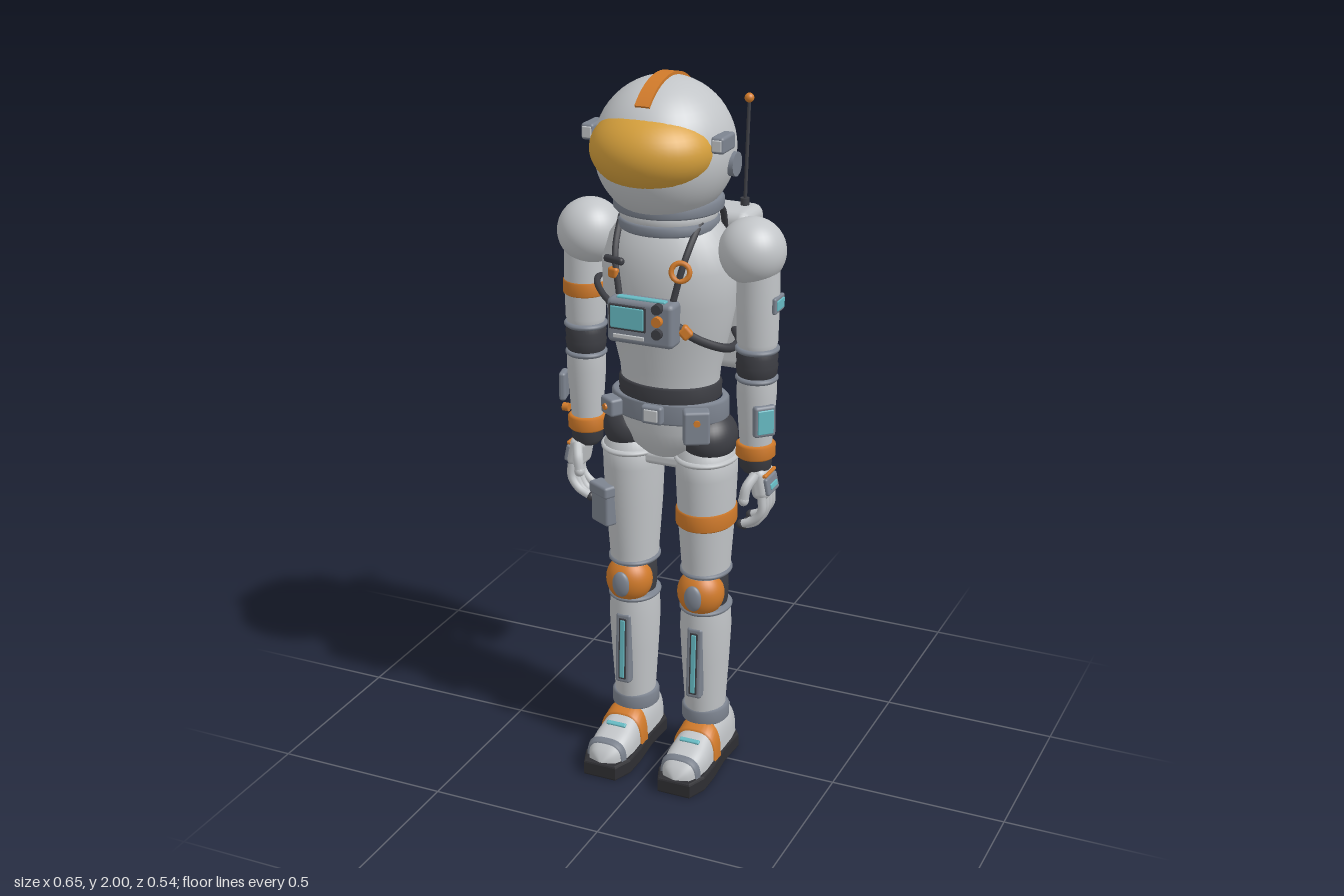
import * as THREE from 'three';
import { RoundedBoxGeometry } from 'three/addons/geometries/RoundedBoxGeometry.js';

const mat = (name, color) => Object.assign(new THREE.MeshStandardMaterial({ color }), { name });
const suit = mat('suit fabric', 0xc2c5c8), slate = mat('slate fittings', 0x7d8490), dark = mat('dark joints', 0x3d3e44);
const orange = mat('orange trim', 0xd07a2a), gold = mat('gold visor', 0xd6a03c), teal = mat('teal display', 0x66b9c2);
const black = mat('sole rubber', 0x2e2e32);

export function createModel() {
  const root = new THREE.Group();
  root.name = 'astronaut';
  let parent = root;
  const group = (name, x = 0, y = 0, z = 0) => {
    parent = new THREE.Group();
    parent.name = name;
    parent.position.set(x, y, z);
    root.add(parent);
  };
  const add = (name, geo, m, p = [0, 0, 0], r = [0, 0, 0]) => {
    const mesh = new THREE.Mesh(geo, m);
    mesh.name = name;
    mesh.position.set(...p);
    mesh.rotation.set(...r);
    parent.add(mesh);
    return mesh;
  };
  const box = (name, m, size, p, r, rad = 0.008) =>
    add(name, new RoundedBoxGeometry(...size, 2, Math.min(rad, Math.min(...size) * 0.45)), m, p, r);
  const ball = (name, m, [rx, ry, rz], p, r) => add(name, new THREE.SphereGeometry(1, 40, 28).scale(rx, ry, rz), m, p, r);
  const lathe = (name, m, pts, p, sz = 1) =>
    add(name, new THREE.LatheGeometry(pts.map(q => new THREE.Vector2(...q)), 40).scale(1, 1, sz), m, p);
  // band with softened rims around the vertical axis
  const band = (name, m, r, y0, y1, p, sz = 1) => {
    const b = Math.min(0.006, (y1 - y0) / 3);
    return lathe(name, m, [[r - 0.02, y0], [r - b, y0], [r, y0 + b], [r, y1 - b], [r - b, y1], [r - 0.02, y1]], p, sz);
  };
  const tube = (name, m, pts, r) => {
    const curve = new THREE.CatmullRomCurve3(pts.map(q => new THREE.Vector3(...q)));
    return add(name, new THREE.TubeGeometry(curve, 24, r, 10), m);
  };
  const disc = (name, m, r, h, p, rot) => add(name, new THREE.CylinderGeometry(r, r, h, 24), m, p, rot);
  // arched skin over sections [z, half width, height]
  const arch = (name, m, sections, p) => {
    const n = 20, pos = [], idx = [];
    sections.forEach(([z, w, h], i) => {
      for (let j = 0; j <= n; j++) {
        const a = j / n * Math.PI, c = Math.cos(a);
        pos.push(Math.sign(c) * w * Math.abs(c) ** 0.7, h * Math.max(0, Math.sin(a)) ** 0.7, z);
        const k = i * (n + 1) + j;
        if (i && j < n) idx.push(k - n - 1, k - n, k, k - n, k + 1, k);
      }
    });
    const g = new THREE.BufferGeometry();
    g.setAttribute('position', new THREE.Float32BufferAttribute(pos, 3));
    g.setIndex(idx);
    g.computeVertexNormals();
    return add(name, g, m, p);
  };

  // Helmet
  group('helmet', 0, 1.803, 0.042);
  ball('helmetShell', suit, [0.185, 0.19, 0.197]);
  ball('visor', gold, [0.168, 0.113, 0.155], [0, 0.015, 0.073]);
  const arc = new THREE.Shape();
  arc.absellipse(0, 0, 0.204, 0.197, 0.78, 2.98, false);
  arc.absellipse(0, 0, 0.185, 0.178, 2.98, 0.78, true);
  add('helmetStripe', new THREE.ExtrudeGeometry(arc, { depth: 0.04, bevelEnabled: false, curveSegments: 40 })
    .translate(0, 0, -0.02).rotateY(-Math.PI / 2), orange);
  for (const s of [-1, 1]) {
    box('helmetLamp', slate, [0.036, 0.044, 0.082], [s * 0.182, 0.042, 0.048]);
    box('lampLens', suit, [0.026, 0.03, 0.006], [s * 0.182, 0.042, 0.09]);
    disc('earDisc', slate, 0.032, 0.04, [s * 0.175, -0.028, -0.017], [0, 0, Math.PI / 2]);
  }

  // Neck rings
  group('neck', 0, 0, 0.02);
  band('collarBase', slate, 0.135, 1.59, 1.62);
  band('collarMiddle', suit, 0.13, 1.615, 1.645);
  band('collarTop', slate, 0.147, 1.64, 1.675);

  // Torso, waist and pelvis
  group('torso', 0, 0, 0.01);
  lathe('chest', suit, [[0.135, 1.13], [0.142, 1.2], [0.166, 1.3], [0.187, 1.4], [0.19, 1.49], [0.168, 1.56], [0.13, 1.61], [0.1, 1.63]], [0, 0, 0], 0.78);
  band('waistBand', dark, 0.145, 1.115, 1.165, [0, 0, 0], 0.78);
  band('belt', slate, 0.168, 1.06, 1.12, [0, 0, 0], 0.68);
  lathe('pelvis', suit, [[0, 0.905], [0.055, 0.915], [0.085, 0.945], [0.125, 0.985], [0.145, 1.03], [0.15, 1.09]], [0, 0, 0], 0.74);
  box('crotchPanel', suit, [0.13, 0.04, 0.13], [0, 0.937, 0], undefined, 0.015);
  box('beltBuckle', slate, [0.062, 0.052, 0.025], [0, 1.09, 0.118]);
  box('bucklePlate', suit, [0.04, 0.034, 0.006], [0, 1.09, 0.131]);
  box('largePouch', slate, [0.072, 0.095, 0.045], [0.12, 1.068, 0.1], [0, 0.5, 0]);
  disc('pouchButton', orange, 0.009, 0.008, [0.131, 1.085, 0.121], [Math.PI / 2, 0, -0.5]);
  box('smallPouch', slate, [0.06, 0.05, 0.04], [-0.135, 1.085, 0.088], [0, -0.6, 0]);
  disc('smallPouchButton', orange, 0.009, 0.008, [-0.147, 1.085, 0.106], [Math.PI / 2, 0, 0.6]);
  for (const s of [-1, 1]) ball('hipJoint', dark, [0.075, 0.075, 0.09], [s * 0.118, 1.005, 0]);

  // Harness and chest console
  group('harness');
  for (const s of [-1, 1]) {
    tube('shoulderStrap', dark, [[s * 0.1, 1.55, -0.13], [s * 0.115, 1.63, -0.06], [s * 0.113, 1.63, 0.05], [s * 0.1, 1.54, 0.14], [s * 0.075, 1.42, 0.168]], 0.009);
  }
  add('strapRing', new THREE.TorusGeometry(0.024, 0.007, 10, 24), orange, [0.094, 1.51, 0.157], [-0.2, 0.3, 0]);
  box('strapClip', dark, [0.066, 0.02, 0.018], [-0.098, 1.518, 0.152], [0, -0.3, 0]);
  box('strapTab', orange, [0.032, 0.03, 0.018], [-0.097, 1.485, 0.158], [0, -0.3, 0]);
  tube('lowerStrapLeft', dark, [[0.075, 1.37, 0.165], [0.13, 1.32, 0.125], [0.182, 1.28, 0.05], [0.18, 1.27, -0.04], [0.13, 1.27, -0.13]], 0.012);
  tube('lowerStrapRight', dark, [[-0.08, 1.385, 0.165], [-0.145, 1.41, 0.125], [-0.197, 1.425, 0.05], [-0.196, 1.43, -0.04], [-0.14, 1.43, -0.13]], 0.009);
  box('strapAdjuster', orange, [0.032, 0.036, 0.025], [0.105, 1.345, 0.15], [0, 0.4, 0.7]);
  box('chestConsole', slate, [0.19, 0.122, 0.062], [0, 1.372, 0.18], undefined, 0.014);
  box('screenFrame', dark, [0.106, 0.07, 0.007], [-0.033, 1.385, 0.211]);
  box('screen', teal, [0.096, 0.06, 0.008], [-0.033, 1.385, 0.213]);
  box('consoleTopLight', teal, [0.14, 0.008, 0.02], [0, 1.434, 0.19]);
  box('consoleLabel', suit, [0.09, 0.012, 0.006], [-0.03, 1.332, 0.211]);
  [dark, orange, dark].forEach((m, i) => disc('consoleKnob', m, 0.014, 0.02, [0.055, 1.422 - i * 0.034, 0.216], [Math.PI / 2, 0, 0]));

  // Backpack
  group('backpack');
  box('backpackBody', suit, [0.335, 0.45, 0.135], [0, 1.375, -0.187], undefined, 0.03);
  box('backPanel', slate, [0.215, 0.3, 0.02], [0, 1.385, -0.256]);
  for (let i = 0; i < 4; i++) box('ventSlot', dark, [0.118, 0.018, 0.01], [-0.022, 1.435 - i * 0.045, -0.267]);
  box('sideLight', teal, [0.012, 0.25, 0.01], [0.126, 1.4, -0.256]);
  tube('antenna', dark, [[0.125, 1.59, -0.203], [0.126, 1.74, -0.211], [0.127, 1.89, -0.22]], 0.005);
  disc('antennaBase', dark, 0.012, 0.03, [0.125, 1.605, -0.203]);
  ball('antennaTip', orange, [0.013, 0.013, 0.013], [0.127, 1.89, -0.22]);

  for (const s of [-1, 1]) {
    const side = s > 0 ? 'left' : 'right';

    // Arm
    group(side + 'Arm', s * 0.253, 0, 0.012);
    ball('shoulder', suit, [0.09, 0.09, 0.09], [-s * 0.018, 1.545, 0]);
    lathe('upperArm', suit, [[0.05, 1.28], [0.055, 1.3], [0.058, 1.42], [0.056, 1.52]]);
    band('upperElbowRing', slate, 0.06, 1.272, 1.287);
    lathe('elbow', dark, [[0.045, 1.195], [0.054, 1.21], [0.057, 1.235], [0.054, 1.24], [0.057, 1.26], [0.05, 1.28]]);
    band('lowerElbowRing', slate, 0.058, 1.19, 1.205);
    lathe('forearm', suit, [[0.043, 1.0], [0.047, 1.05], [0.054, 1.15], [0.053, 1.195]]);
    band('cuff', orange, 0.054, 0.97, 1.013);
    lathe('wrist', dark, [[0.03, 0.925], [0.043, 0.94], [0.046, 0.975]]);
    // Glove with fingers curling towards the body
    box('palm', suit, [0.05, 0.09, 0.085], [s * 0.022, 0.9, 0.002], [0, 0, s * 0.2], 0.02);
    box('knucklePlate', slate, [0.014, 0.05, 0.075], [s * 0.047, 0.897, 0.002], [0, 0, s * 0.2]);
    box('knuckleLight', teal, [0.006, 0.016, 0.045], [s * 0.055, 0.895, 0.002], [0, 0, s * 0.2]);
    box('gloveStripe', orange, [0.014, 0.01, 0.075], [s * 0.041, 0.928, 0.002], [0, 0, s * 0.2]);
    for (let i = 0; i < 4; i++) {
      const z = -0.032 + i * 0.023, d = i % 3 ? 0 : 0.012;
      tube('finger', suit, [[s * 0.034, 0.87, z], [s * 0.034, 0.825, z], [s * 0.012, 0.783 + d, z], [-s * 0.025, 0.765 + d, z]], 0.0115);
      ball('fingertip', dark, [0.013, 0.013, 0.0125], [-s * 0.025, 0.765 + d, z]);
    }
    tube('thumb', suit, [[s * 0.015, 0.93, 0.035], [0, 0.9, 0.062], [-s * 0.006, 0.865, 0.068]], 0.014);
    ball('thumbTip', suit, [0.0145, 0.016, 0.0145], [-s * 0.006, 0.863, 0.068]);
    if (s > 0) {
      box('armPatch', slate, [0.012, 0.045, 0.066], [0.057, 1.41, 0]);
      box('armPatchLight', teal, [0.006, 0.028, 0.05], [0.063, 1.41, 0]);
      box('wristDisplay', slate, [0.062, 0.088, 0.024], [0.037, 1.09, 0.037], [0, 0.8, 0]);
      box('wristScreen', teal, [0.046, 0.068, 0.006], [0.046, 1.09, 0.046], [0, 0.8, 0]);
    } else {
      band('armBand', orange, 0.061, 1.365, 1.41);
      box('wristController', slate, [0.02, 0.082, 0.05], [-0.055, 1.1, 0.033], [0, 0.25, 0]);
      disc('wristButton', orange, 0.012, 0.018, [-0.05, 1.033, 0.03], [0, 0, Math.PI / 2]);
    }

    // Leg
    group(side + 'Leg', s * 0.11, 0, 0.012);
    lathe('thigh', suit, [[0.066, 0.6], [0.068, 0.64], [0.078, 0.78], [0.083, 0.9], [0.083, 0.955], [0.06, 0.985]], [0, 0, 0], 1.18);
    band('thighRing', suit, 0.088, 0.942, 0.958, [0, 0, 0], 1.18);
    band('upperKneeRing', slate, 0.072, 0.6, 0.617, [0, 0, 0], 1.15);
    lathe('kneeJoint', dark, [[0.055, 0.49], [0.06, 0.515], [0.062, 0.55], [0.06, 0.585], [0.055, 0.61]], [0, 0, -0.005]);
    ball('kneeCap', orange, [0.067, 0.07, 0.062], [0, 0.548, 0.037]);
    ball('kneeInset', slate, [0.026, 0.038, 0.014], [0, 0.55, 0.093]);
    band('lowerKneeRing', slate, 0.073, 0.488, 0.504, [0, 0, 0], 1.15);
    lathe('shin', suit, [[0.055, 0.16], [0.058, 0.2], [0.066, 0.33], [0.071, 0.43], [0.068, 0.495]], [0, 0, 0], 1.15);
    box('shinPlate', slate, [0.046, 0.215, 0.03], [0, 0.343, 0.073], [-0.05, 0, 0]);
    box('shinGroove', dark, [0.024, 0.19, 0.006], [0, 0.343, 0.087], [-0.05, 0, 0]);
    box('shinLight', teal, [0.015, 0.18, 0.007], [0, 0.343, 0.089], [-0.05, 0, 0]);
    band('ankleCuff', slate, 0.067, 0.135, 0.182, [0, 0, -0.002], 1.05);
    if (s > 0) band('thighBand', orange, 0.083, 0.75, 0.803, [0, 0, 0], 1.18);
    else {
      box('thighPocket', slate, [0.075, 0.115, 0.04], [-0.055, 0.785, 0.08], [0, -0.5, 0]);
      box('pocketFlap', slate, [0.08, 0.035, 0.046], [-0.056, 0.83, 0.082], [0, -0.5, 0]);
    }

    // Boot
    group(side + 'Boot', s * 0.115, 0, 0);
    const sole = new THREE.Shape([[-0.04, -0.095], [0.04, -0.095], [0.06, -0.07], [0.056, 0.02], [0.065, 0.12],
      [0.065, 0.19], [0.045, 0.243], [-0.045, 0.243], [-0.065, 0.19], [-0.065, 0.12], [-0.056, 0.02], [-0.06, -0.07]]
      .map(([x, z]) => new THREE.Vector2(x, -z)));
    add('sole', new THREE.ExtrudeGeometry(sole, { depth: 0.034, bevelThickness: 0.006, bevelSize: 0.006, bevelSegments: 2 })
      .translate(0, 0, 0.006).rotateX(-Math.PI / 2), black);
    arch('bootUpper', suit, [[-0.092, 0, 0], [-0.092, 0.035, 0.06], [-0.08, 0.052, 0.098], [-0.04, 0.058, 0.108], [0.05, 0.058, 0.104],
      [0.1, 0.06, 0.085], [0.15, 0.062, 0.068], [0.2, 0.057, 0.056], [0.23, 0.04, 0.04], [0.243, 0, 0]], [0, 0.042, 0]);
    arch('bootStrap', orange, [[0.06, 0.056, 0.095], [0.06, 0.065, 0.107], [0.1, 0.066, 0.093], [0.1, 0.056, 0.08]], [0, 0.042, 0]);
    arch('toeCap', slate, [[0.196, 0.05, 0.05], [0.196, 0.061, 0.061], [0.212, 0.056, 0.056], [0.212, 0.046, 0.045]], [0, 0.042, 0]);
    box('bootLight', teal, [0.06, 0.008, 0.014], [0, 0.116, 0.135], [0.35, 0, 0]);
    box('heelTab', slate, [0.06, 0.07, 0.015], [0, 0.1, -0.088]);
  }
  return root;
}
